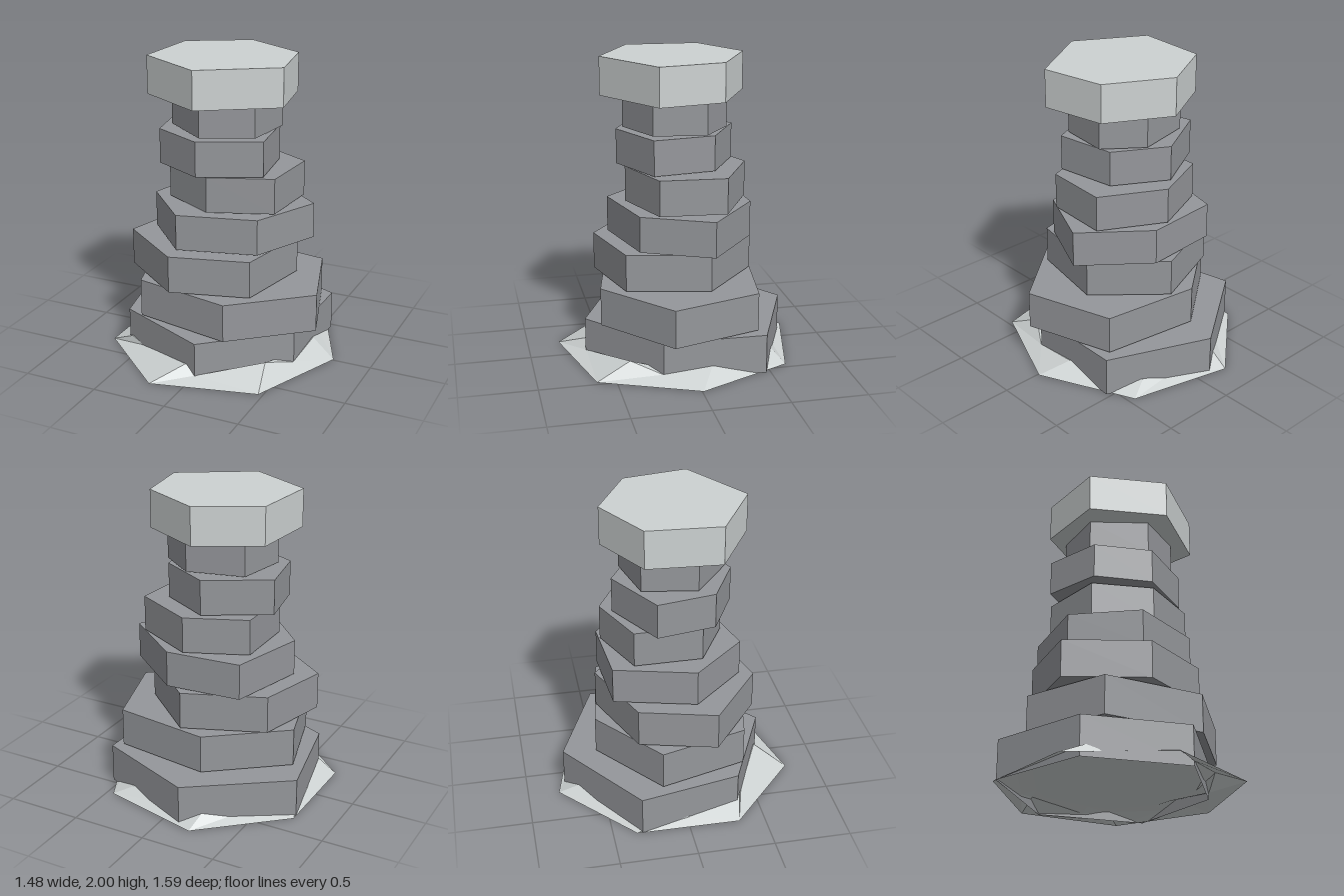
import * as THREE from 'three';

// Each stone: [bottom, top, outline corners as x,z pairs]
const STONES = [
  [0.0, 0.26, [0.54, 0.205, 0.03, 0.635, -0.6, 0.35, -0.735, -0.31, -0.115, -0.745, 0.555, -0.47]],
  [0.273, 0.525, [0.67, 0.155, 0.19, 0.55, -0.47, 0.415, -0.635, -0.155, -0.155, -0.525, 0.49, -0.43]],
  [0.537, 0.782, [0.418, -0.135, 0.307, 0.4, -0.2, 0.535, -0.64, 0.2, -0.51, -0.29, 0.01, -0.495]],
  [0.798, 1.033, [0.528, -0.135, 0.318, 0.31, -0.19, 0.44, -0.515, 0.09, -0.38, -0.43, 0.12, -0.465]],
  [1.047, 1.28, [0.418, -0.235, 0.385, 0.195, -0.02, 0.345, -0.375, 0.15, -0.38, -0.29, 0.01, -0.452]],
  [1.29, 1.52, [0.26, -0.188, 0.315, 0.215, -0.07, 0.393, -0.41, 0.22, -0.48, -0.16, -0.08, -0.382]],
  [1.533, 1.75, [0.298, -0.13, 0.255, 0.21, -0.065, 0.35, -0.37, 0.12, -0.31, -0.23, 0.06, -0.313]],
];
const CAP = [1.75, 2.0, [0.44, 0.205, -0.032, 0.5, -0.475, 0.25, -0.445, -0.23, -0.05, -0.445, 0.365, -0.225]];

// Drift corners on the ground, and the low and high points of its wavy crest
const CORNERS = [[0.74, 0, -0.01], [0.47, 0, 0.625], [-0.22, 0, 0.79], [-0.74, 0, 0.33], [-0.735, 0, -0.345], [-0.215, 0, -0.795], [0.455, 0, -0.63]];
const LOWS = [[0.55, 0.04, -0.26], [0.54, 0.045, 0.21], [0.03, 0.035, 0.63], [-0.46, 0.045, 0.41], [-0.67, 0.03, 0.02], [-0.4, 0.03, -0.53], [0.15, 0.03, -0.62]];
const PEAKS = [[0.555, 0.08, -0.11], [0.42, 0.105, 0.4], [-0.05, 0.09, 0.605], [-0.57, 0.075, 0.37], [-0.69, 0.06, -0.17], [-0.24, 0.07, -0.64], [0.33, 0.06, -0.57]];

// Flat-faced mesh from a list of triangles
function facetedMesh(triangles, material, name) {
  const geometry = new THREE.BufferGeometry();
  geometry.setAttribute('position', new THREE.Float32BufferAttribute(triangles.flat(2), 3));
  geometry.computeVertexNormals();
  const mesh = new THREE.Mesh(geometry, material);
  mesh.name = name;
  return mesh;
}

// Upright prism with an irregular outline; the lowest one is open underneath
function slab([bottom, top, outline], material, name) {
  const low = [], high = [];
  for (let i = 0; i < outline.length; i += 2) {
    low.push([outline[i], bottom, outline[i + 1]]);
    high.push([outline[i], top, outline[i + 1]]);
  }
  const triangles = [];
  low.forEach((a, i) => {
    const j = (i + 1) % low.length;
    triangles.push([a, high[i], high[j]], [a, high[j], low[j]]);
    if (i > 0 && j > 0) {
      triangles.push([high[0], high[j], high[i]]);
      if (bottom > 0) triangles.push([low[0], low[i], low[j]]);
    }
  });
  return facetedMesh(triangles, material, name);
}

// Seven-cornered drift rising to the crest, then a shallow floor under the lowest stone
function drift(material) {
  const triangles = [];
  const centre = [0, 0.06, 0];
  const inside = ([x, , z]) => [x * 0.85, 0.05, z * 0.85];
  CORNERS.forEach((corner, i) => {
    const j = (i + 1) % CORNERS.length;
    const low = LOWS[i], peak = PEAKS[i], nextLow = LOWS[j];
    // outer slope
    triangles.push([corner, low, peak], [corner, peak, nextLow], [corner, nextLow, CORNERS[j]]);
    // inner slope and floor
    [[low, peak], [peak, nextLow]].forEach(([a, b]) => {
      triangles.push([a, inside(a), b], [b, inside(a), inside(b)], [inside(a), centre, inside(b)]);
    });
  });
  return facetedMesh(triangles, material, 'groundSnowDrift');
}

export function createModel() {
  const stone = new THREE.MeshStandardMaterial({ color: 0x95979b, flatShading: true, side: THREE.DoubleSide });
  stone.name = 'grey stone';
  const snow = new THREE.MeshStandardMaterial({ color: 0xcdd2d2, flatShading: true, side: THREE.DoubleSide });
  snow.name = 'pale snow';

  const model = new THREE.Group();
  model.name = 'stackedStoneCairn';
  STONES.forEach((s, i) => model.add(slab(s, stone, `stone${i + 1}`)));
  model.add(slab(CAP, snow, 'snowCap'));
  model.add(drift(snow));
  return model;
}
